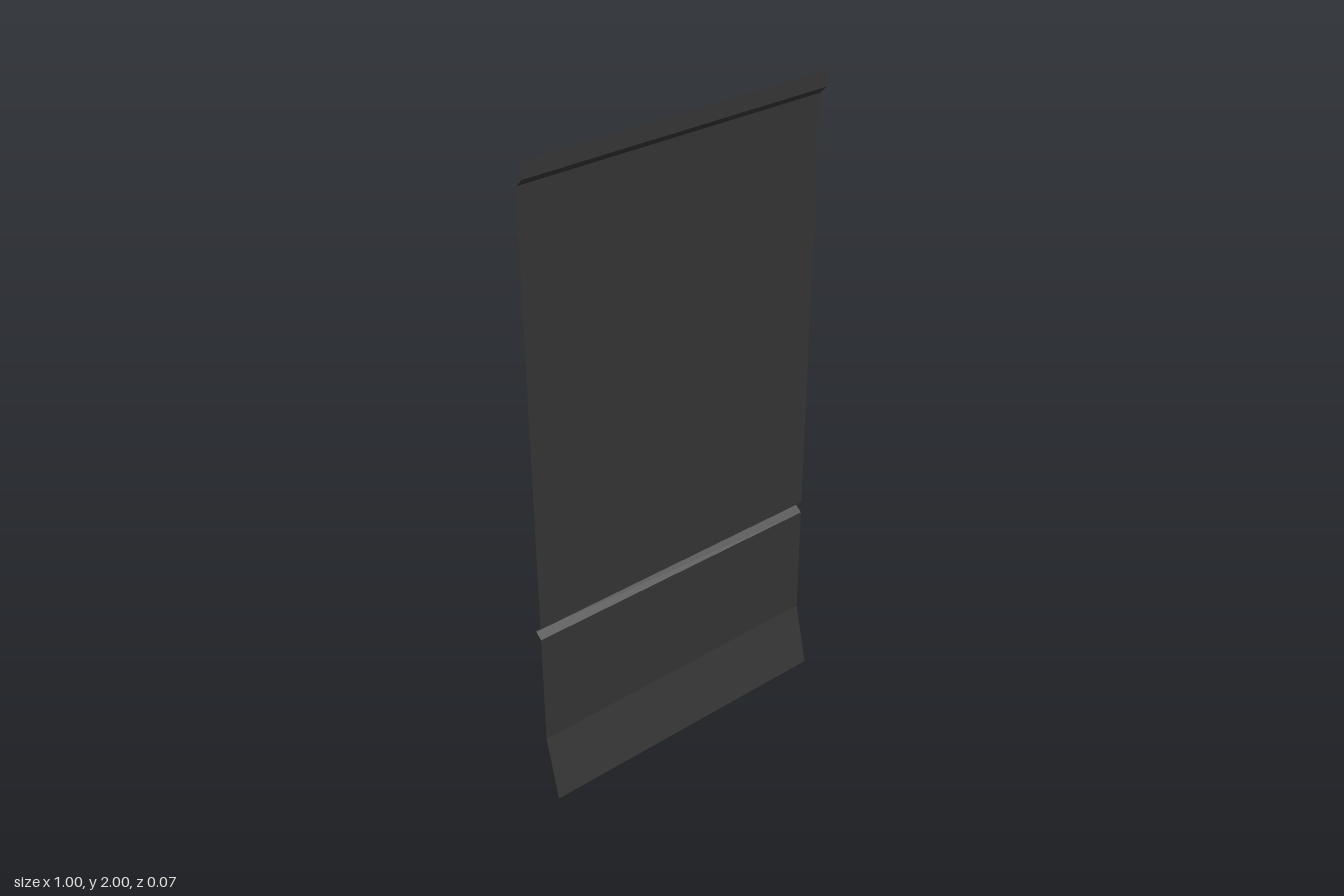
import * as THREE from 'three';

const HALF_WIDTH = 0.5;

// Folds a thin sheet along a [y, z] profile listed from top to bottom.
function foldedSheet(name, profile, material) {
  const positions = [];
  for (let i = 0; i < profile.length - 1; i++) {
    const [y0, z0] = profile[i];
    const [y1, z1] = profile[i + 1];
    const a = [-HALF_WIDTH, y0, z0];
    const b = [-HALF_WIDTH, y1, z1];
    const c = [HALF_WIDTH, y1, z1];
    const d = [HALF_WIDTH, y0, z0];
    positions.push(...a, ...b, ...c, ...a, ...c, ...d);
  }
  const geometry = new THREE.BufferGeometry();
  geometry.setAttribute('position', new THREE.Float32BufferAttribute(positions, 3));
  geometry.computeVertexNormals(); // unshared corners keep each fold crisp
  const mesh = new THREE.Mesh(geometry, material);
  mesh.name = name;
  return mesh;
}

export function createModel() {
  const group = new THREE.Group();
  group.name = 'foldedPanel';

  const charcoal = new THREE.MeshStandardMaterial({ color: 0x333333, side: THREE.DoubleSide });
  charcoal.name = 'charcoal';

  const face = -0.015; // depth of the main sheet
  const lip = 0.012; // the top lip stands forward
  const groove = -0.037; // the groove is pressed backward
  const flare = 0.033; // the bottom edge kicks forward

  group.add(
    // upright lip and its sloped step
    foldedSheet('topLip', [[2, lip], [1.953, lip], [1.928, face]], charcoal),
    foldedSheet('upperPanel', [[1.928, face], [0.604, face]], charcoal),
    // horizontal groove across the sheet
    foldedSheet('groove', [[0.604, face], [0.587, groove], [0.581, groove], [0.564, face]], charcoal),
    foldedSheet('lowerPanel', [[0.564, face], [0.2, face]], charcoal),
    // flared skirt at the foot
    foldedSheet('bottomFlare', [[0.2, face], [0, flare]], charcoal),
  );
  return group;
}
